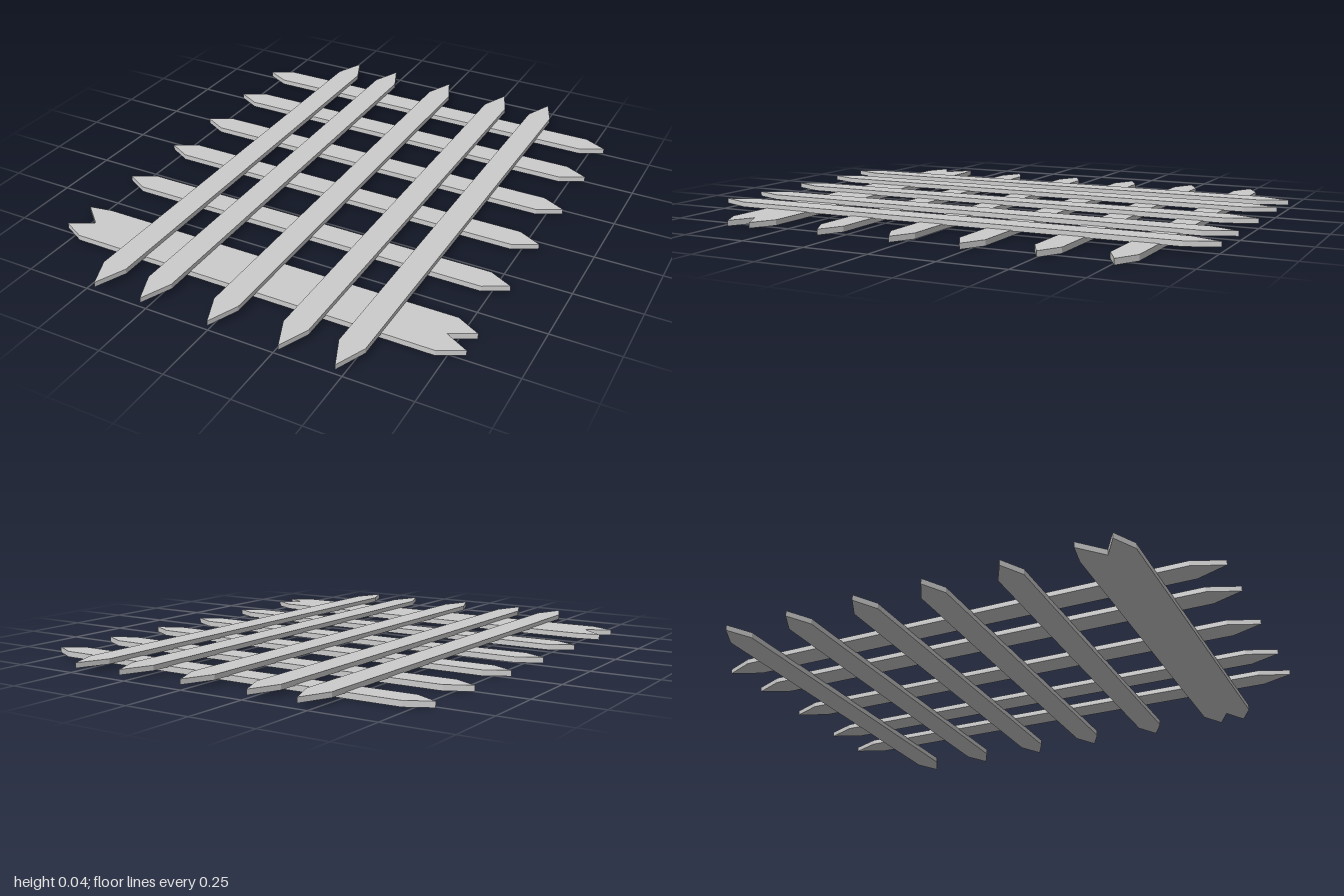
import * as THREE from 'three';

const HALF_WIDTH = 0.048;

// Flat board cut from an outline of [x, z] points, lying between y and y + thickness
function board(name, outline, y, thickness, material) {
  const shape = new THREE.Shape(outline.map(([x, z]) => new THREE.Vector2(x, -z)));
  const geometry = new THREE.ExtrudeGeometry(shape, { depth: thickness, bevelEnabled: false });
  geometry.rotateX(-Math.PI / 2);
  const mesh = new THREE.Mesh(geometry, material);
  mesh.name = name;
  mesh.position.y = y;
  return mesh;
}

// Slat outline along x with a point at each end
function pointedOutline(tip, shoulder) {
  return [
    [-tip, 0], [-shoulder, HALF_WIDTH], [shoulder, HALF_WIDTH],
    [tip, 0], [shoulder, -HALF_WIDTH], [-shoulder, -HALF_WIDTH],
  ];
}

export function createModel() {
  const group = new THREE.Group();
  group.name = 'lattice';
  const material = new THREE.MeshStandardMaterial({ color: 0xcccccc, flatShading: true });

  // Cross slats underneath
  [-0.76, -0.5, -0.225, 0.044, 0.335].forEach((z, i) => {
    const slat = board(`crossSlat${i + 1}`, pointedOutline(0.805, 0.715), 0, 0.021, material);
    slat.position.z = z;
    group.add(slat);
  });

  // Wide cross board with two points at each end
  group.add(board('wideCrossBoard', [
    [-0.805, 0.596], [-0.715, 0.677], [-0.805, 0.727], [-0.715, 0.773],
    [0.715, 0.773], [0.805, 0.727], [0.715, 0.677], [0.805, 0.63],
    [0.715, 0.58], [-0.715, 0.58],
  ], 0, 0.021, material));

  // Long slats on top, running front to back
  [-0.463, -0.27, 0, 0.27, 0.476].forEach((x, i) => {
    const slat = board(`longSlat${i + 1}`, pointedOutline(1, 0.885), 0.018, 0.019, material);
    slat.rotation.y = Math.PI / 2;
    slat.position.x = x;
    group.add(slat);
  });

  return group;
}
